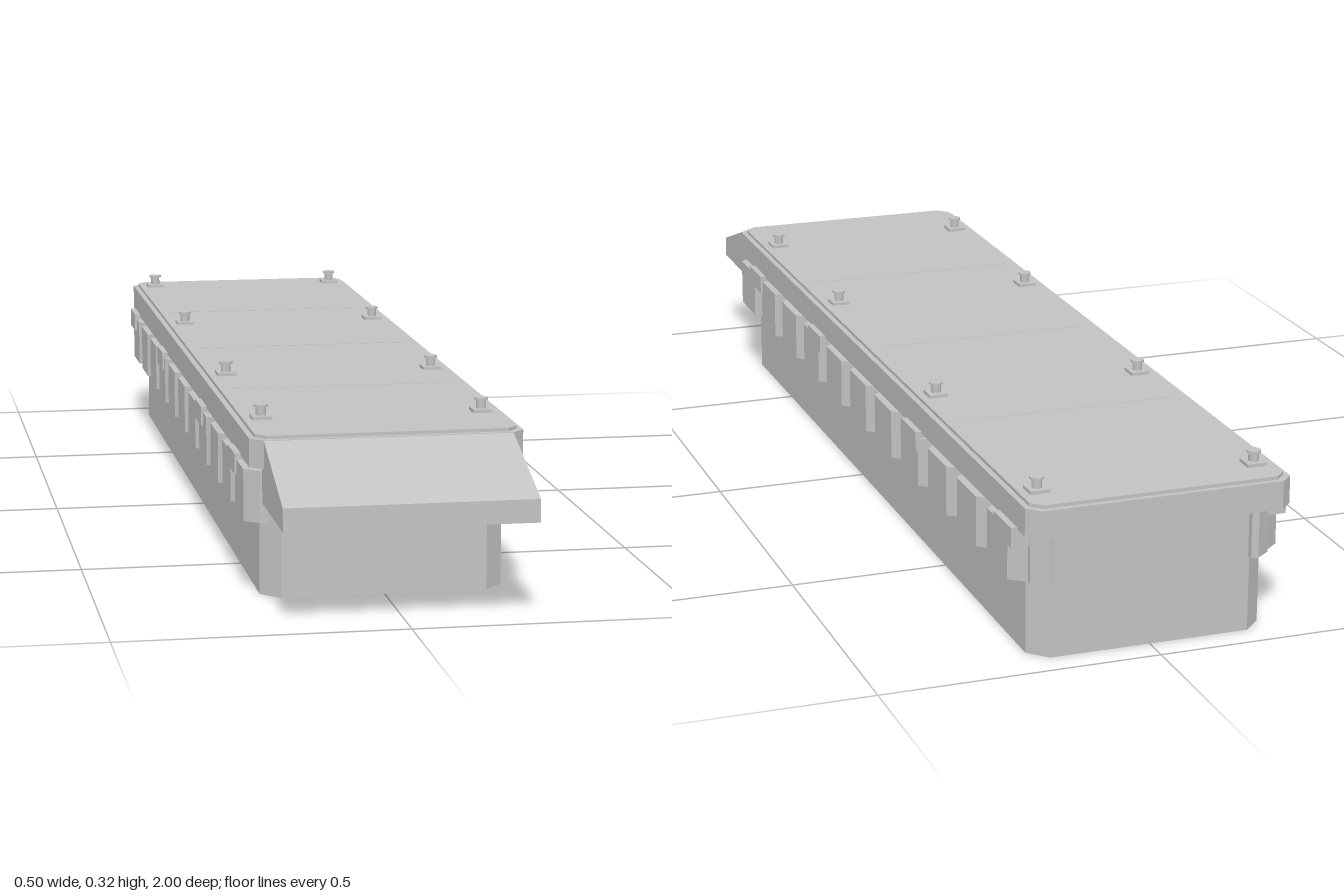
import * as THREE from 'three';

const grey = new THREE.MeshStandardMaterial({ color: 0xc2c2c2 });
grey.name = 'paintedSteel';

export function createModel() {
  const model = new THREE.Group();
  model.name = 'pontoonBarge';

  const add = (name, geometry, x = 0, y = 0, z = 0, parent = model) => {
    const mesh = new THREE.Mesh(geometry, grey);
    mesh.name = name;
    mesh.position.set(x, y, z);
    parent.add(mesh);
    return mesh;
  };
  const box = (w, h, d) => new THREE.BoxGeometry(w, h, d);

  // Prism standing on y0 from a plan outline of [x, z] points
  const prism = (points, y0, y1) => {
    const shape = new THREE.Shape(points.map(([x, z]) => new THREE.Vector2(x, -z)));
    const g = new THREE.ExtrudeGeometry(shape, { depth: y1 - y0, bevelEnabled: false });
    return g.rotateX(-Math.PI / 2).translate(0, y0, 0);
  };
  // Rectangle in plan with cut corners
  const cutPlan = (hx, back, front, c) => [
    [-hx + c, front], [hx - c, front], [hx, front - c], [hx, back + c],
    [hx - c, back], [-hx + c, back], [-hx, back + c], [-hx, front - c],
  ];

  // Hull and overhanging deck
  add('hull', prism(cutPlan(0.213, -0.95, 0.76, 0.033), 0, 0.236));
  add('deck', prism(cutPlan(0.238, -1, 0.8, 0.022), 0.235, 0.285));
  add('deckPlate', prism(cutPlan(0.228, -0.99, 0.79, 0.019), 0.285, 0.291));

  // Sloping bow ramp, drawn in side profile and extruded across
  const profile = new THREE.Shape([[0.78, 0.172], [1, 0.172], [1, 0.212], [0.8, 0.284], [0.78, 0.284]]
    .map(([z, y]) => new THREE.Vector2(-z, y)));
  const ramp = new THREE.ExtrudeGeometry(profile, { depth: 0.432, bevelEnabled: false });
  add('bowRamp', ramp.rotateY(Math.PI / 2).translate(-0.216, 0, 0));

  // Seams between deck sections
  for (const z of [0.35, -0.1, -0.55]) add('deckSeam', box(0.41, 0.001, 0.004), 0, 0.2912, z);

  for (const s of [-1, 1]) {
    // Row of tapered fender blocks along each side
    for (let i = 0; i < 11; i++) {
      const z = 0.706 - i * 0.157;
      const plan = [[0.205, z + 0.071], [0.22, z + 0.071], [0.245, z + 0.05],
        [0.245, z - 0.05], [0.22, z - 0.071], [0.205, z - 0.071]];
      add('sideFender', prism(plan.map(([x, pz]) => [s * x, pz]), 0.137, 0.228));
    }

    // Fender pieces wrapping the hull corners
    for (const [end, dir] of [[0.76, 1], [-0.95, -1]]) {
      const plan = [[0.178, end - dir * 0.01], [0.178, end + dir * 0.012], [0.19, end + dir * 0.015],
        [0.216, end - dir * 0.005], [0.216, end - dir * 0.05]];
      add('cornerFender', prism(plan.map(([x, pz]) => [s * x, pz]), 0.137, 0.228));
    }

    // Mooring bollards, each with a side bracket below
    for (const z of [0.635, 0.2, -0.4, -0.92]) {
      const bollard = new THREE.Group();
      bollard.name = 'bollard';
      bollard.position.set(s * 0.196, 0.291, z);
      add('bollardBase', box(0.035, 0.006, 0.035), 0, 0.003, 0, bollard);
      add('bollardPost', new THREE.CylinderGeometry(0.009, 0.009, 0.018, 12), 0, 0.014, 0, bollard);
      add('bollardCap', new THREE.CylinderGeometry(0.0125, 0.0125, 0.004, 12), 0, 0.0235, 0, bollard);
      model.add(bollard);
      add('sideBracket', box(0.036, 0.036, 0.085), s * 0.231, 0.221, z === -0.92 ? -0.9 : z);
    }
  }
  return model;
}
